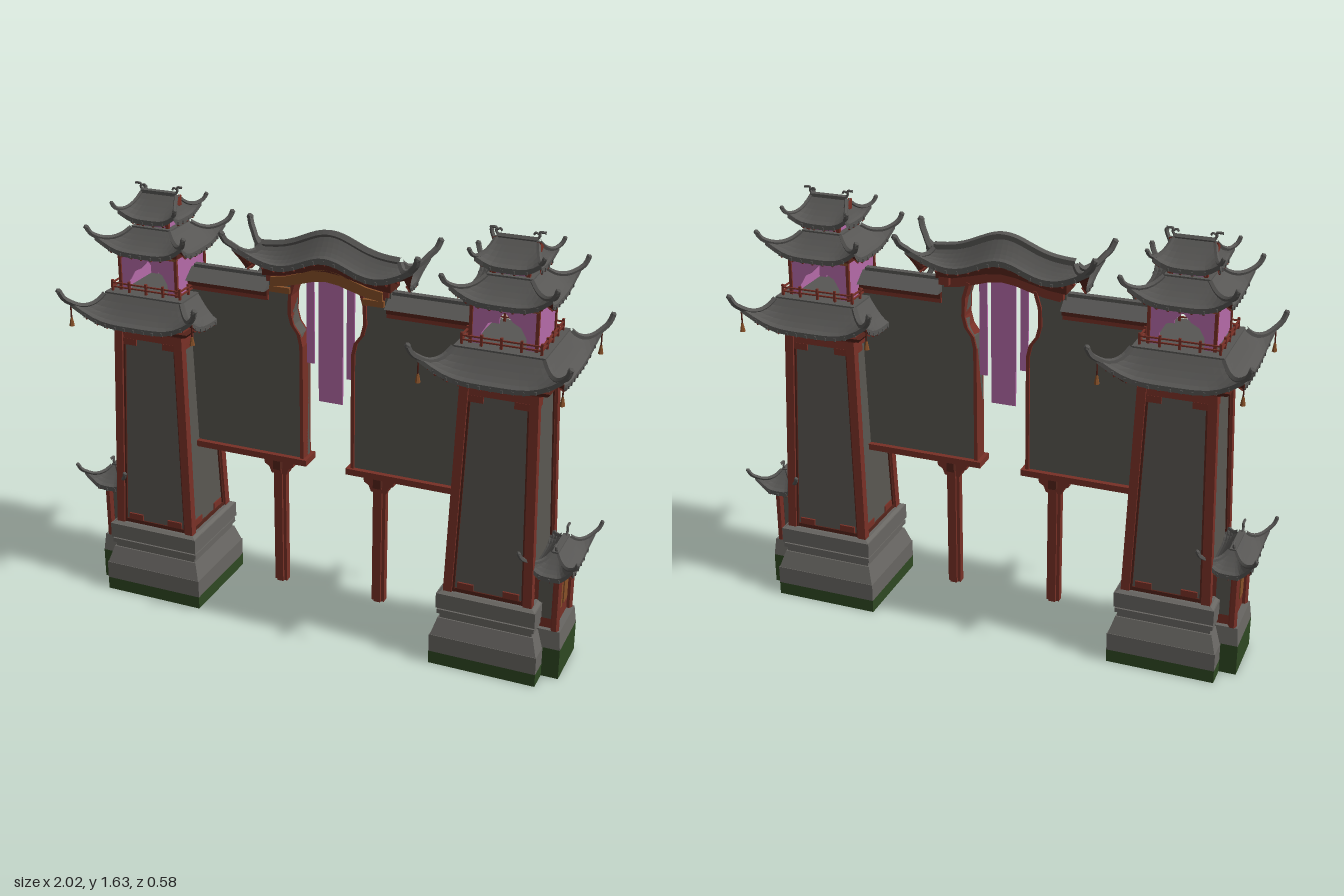
import * as THREE from 'three';
import { mergeGeometries } from 'three/addons/utils/BufferGeometryUtils.js';

const material = (name, color, side = THREE.FrontSide) => {
  const m = new THREE.MeshStandardMaterial({ color, flatShading: true, side });
  m.name = name;
  return m;
};
const V = (x, y, z) => new THREE.Vector3(x, y, z);

export function createModel() {
  const tile = material('roofTile', 0x575654);
  const plaster = material('plaster', 0x595650);
  const stone = material('stone', 0x686662);
  const red = material('redTimber', 0x783026);
  const darkRed = material('darkTimber', 0x54231a);
  const green = material('moss', 0x2e4822);
  const purple = material('purpleCloth', 0xb56aa8, THREE.DoubleSide);
  const orange = material('ochre', 0x875028);

  const add = (parent, name, geo, mat) => {
    const m = new THREE.Mesh(geo, mat);
    m.name = name;
    parent.add(m);
    return m;
  };
  const group = (parent, name, x = 0) => {
    const g = new THREE.Group();
    g.name = name;
    g.position.x = x;
    parent.add(g);
    return g;
  };
  const box = (x0, x1, y0, y1, z0, z1) =>
    new THREE.BoxGeometry(x1 - x0, y1 - y0, z1 - z0).translate((x0 + x1) / 2, (y0 + y1) / 2, (z0 + z1) / 2);
  // Box given by half sizes at its bottom and its top
  const frustum = (y0, y1, x0, z0, x1 = x0, z1 = z0) => {
    const g = new THREE.BoxGeometry(2, 1, 2), p = g.attributes.position;
    for (let i = 0; i < p.count; i++) {
      const up = p.getY(i) > 0;
      p.setXYZ(i, p.getX(i) * (up ? x1 : x0), up ? y1 : y0, p.getZ(i) * (up ? z1 : z0));
    }
    g.computeVertexNormals();
    return g;
  };
  // Straight bar between two points
  const bar = (a, b, r, sides = 4) => {
    const d = b.clone().sub(a);
    const g = new THREE.CylinderGeometry(r, r, d.length(), sides).rotateY(Math.PI / sides);
    g.applyQuaternion(new THREE.Quaternion().setFromUnitVectors(V(0, 1, 0), d.normalize()));
    return g.translate((a.x + b.x) / 2, (a.y + b.y) / 2, (a.z + b.z) / 2);
  };
  const tube = (pts, r, n = 12) => new THREE.TubeGeometry(new THREE.CatmullRomCurve3(pts), n, r, 5);
  const outline = (pts) => new THREE.Shape(pts.map(([x, y]) => new THREE.Vector2(x, y)));
  const slab = (shape, depth, z = -depth / 2) =>
    new THREE.ExtrudeGeometry(shape, { depth, bevelEnabled: false }).translate(0, 0, z);
  const ring = (x, z, ix, iz, y0, y1) => {
    const rect = (a, b) => [[-a, -b], [a, -b], [a, b], [-a, b]];
    const s = outline(rect(x, z));
    s.holes.push(outline(rect(ix, iz)));
    return slab(s, y1 - y0, 0).rotateX(-Math.PI / 2).translate(0, y0, 0);
  };
  const patch = (nu, nv, f) => {
    const g = new THREE.PlaneGeometry(2, 1, nu, nv), p = g.attributes.position;
    for (let i = 0; i < p.count; i++) p.setXYZ(i, ...f(p.getX(i), p.getY(i) + 0.5).toArray());
    g.computeVertexNormals();
    return g;
  };

  // Swept roof: eave half sizes hx/hz, top half sizes tx/tz, lifted corners with curled tips
  const roof = (parent, name, o) => {
    const { hx, hz, tx, tz, y0, y1, lift, flare, tip, th = 0.018, r = 0.01, nu = 14, warp = () => 0 } = o;
    const g = group(parent, name, o.x);
    const surf = (k, u, v, drop = 0) => {
      const odd = k % 2, e = (1 - v) ** 2, f = flare * Math.abs(u) ** 6 * e;
      const along = THREE.MathUtils.lerp(odd ? hz : hx, odd ? tz : tx, v) + f;
      const out = THREE.MathUtils.lerp(odd ? hx : hz, odd ? tx : tz, v) + f;
      const p = V(u * along, y0 + (y1 - y0) * v ** 1.4 + lift * Math.abs(u) ** 4 * e - drop, out);
      p.applyAxisAngle(V(0, 1, 0), k * Math.PI / 2);
      p.y += warp(p.x);
      return p;
    };
    const tops = [], unders = [], ends = [], rafters = [], hips = [];
    for (let k = 0; k < 4; k++) {
      tops.push(patch(nu, 5, (u, v) => surf(k, u, v)));
      tops.push(patch(nu, 1, (u, v) => surf(k, u, 0, th * (1 - v))));
      unders.push(patch(nu, 5, (u, v) => surf(k, -u, v, th)));
      const n = Math.max(4, Math.round((k % 2 ? hz : hx) / 0.02));
      for (let i = 1; i < n; i++) {
        const u = (2 * i) / n - 1, p = surf(k, u, 0, th * 0.7);
        ends.push(new THREE.BoxGeometry(0.007, 0.012, 0.007).translate(p.x, p.y, p.z));
        rafters.push(bar(surf(k, u, 0.04, th + 0.004), surf(k, u, 0.4, th + 0.004), 0.005));
      }
      const pts = [1, 0.75, 0.5, 0.25, 0].map((v) => surf(k, 1, v));
      const c = pts[4], sx = Math.sign(c.x) * tip, sz = Math.sign(c.z) * tip;
      const end = V(c.x + sx * 0.75, c.y + tip * 1.3, c.z + sz * 0.75);
      pts.push(V(c.x + sx * 0.45, c.y + tip * 0.5, c.z + sz * 0.45), end);
      hips.push(tube(pts, r, 14), new THREE.IcosahedronGeometry(r * 1.1, 0).translate(end.x, end.y, end.z));
    }
    add(g, 'tiledSlopes', mergeGeometries(tops), tile);
    add(g, 'soffit', mergeGeometries(unders), darkRed);
    add(g, 'tileEnds', mergeGeometries(ends), tile);
    add(g, 'rafters', mergeGeometries(rafters), red);
    hips.forEach((h) => add(g, 'hipRidge', h, tile));
    const ridge = [];
    for (let i = 0; i <= 12; i++) ridge.push(V(tx * (i / 6 - 1), y1 + warp(tx * (i / 6 - 1)) + r * 0.5, 0));
    if (tz < 0.02) add(g, 'mainRidge', tube(ridge, r * 1.3, 24), tile);
    else add(g, 'roofCap', frustum(y1 - 0.012, y1 + 0.006, tx, tz), tile);
    return g;
  };

  const model = new THREE.Group();
  model.name = 'gateway';

  const buildHalf = () => {
    const half = group(model, 'gateHalf');
    const t = group(half, 'tower', 0.678);

    // Stone plinth, hollow underneath
    add(t, 'mossyFoot', ring(0.203, 0.192, 0.15, 0.14, 0, 0.05), green);
    add(t, 'plinth', ring(0.203, 0.192, 0.14, 0.13, 0.05, 0.12), stone);
    add(t, 'plinthSlope', frustum(0.12, 0.185, 0.2, 0.19, 0.18, 0.168), stone);
    add(t, 'plinthNeck', frustum(0.185, 0.225, 0.174, 0.163), stone);
    add(t, 'plinthBandLower', frustum(0.205, 0.222, 0.183, 0.172), stone);
    add(t, 'plinthBand', frustum(0.23, 0.29, 0.186, 0.177), stone);
    add(t, 'plinthBandTop', frustum(0.29, 0.297, 0.182, 0.173, 0.17, 0.162), stone);

    // Tapered shaft with corner posts
    add(t, 'shaftWall', frustum(0.29, 1.12, 0.152, 0.145, 0.125, 0.12), plaster);
    add(t, 'shaftSill', frustum(0.295, 0.312, 0.157, 0.15), darkRed);
    add(t, 'shaftFrieze', frustum(1.065, 1.12, 0.133, 0.128, 0.131, 0.126), red);
    for (const sx of [-1, 1]) for (const sz of [-1, 1]) {
      add(t, 'cornerPost', bar(V(sx * 0.15, 0.29, sz * 0.143), V(sx * 0.124, 1.12, sz * 0.119), 0.023), red);
      add(t, 'postLining', bar(V(sx * 0.134, 0.29, sz * 0.144), V(sx * 0.107, 1.12, sz * 0.118), 0.011), darkRed);
      add(t, 'postLining', bar(V(sx * 0.151, 0.29, sz * 0.127), V(sx * 0.123, 1.12, sz * 0.102), 0.011), darkRed);
      for (const [y, w] of [[0.322, 0.149], [1.05, 0.127]]) {
        add(t, 'cornerBracket', box(sx * 0.085 - 0.03, sx * 0.085 + 0.03, y - 0.01, y + 0.015, sz * (w - 0.004) - 0.006, sz * (w - 0.004) + 0.006), red);
        add(t, 'cornerBracket', box(sx * w - 0.006, sx * w + 0.006, y - 0.01, y + 0.015, sz * 0.08 - 0.03, sz * 0.08 + 0.03), red);
      }
    }

    // Lower roof on stepped eave beams
    add(t, 'eaveBeam', frustum(1.105, 1.122, 0.15, 0.145, 0.165, 0.16), red);
    add(t, 'eaveBeam', frustum(1.122, 1.14, 0.18, 0.175, 0.195, 0.19), darkRed);
    add(t, 'eaveBeam', frustum(1.14, 1.158, 0.17, 0.17), red);
    roof(t, 'lowerRoof', { hx: 0.233, hz: 0.235, tx: 0.16, tz: 0.155, y0: 1.155, y1: 1.243, lift: 0.072, flare: 0.018, tip: 0.036, r: 0.011 });
    for (const sx of [-1, 1]) for (const sz of [-1, 1]) {
      const c = V(sx * 0.25, 1.21, sz * 0.25);
      add(t, 'bellCord', bar(c, V(c.x, 1.165, c.z), 0.003), darkRed);
      add(t, 'bell', new THREE.CylinderGeometry(0.004, 0.01, 0.032, 6).translate(c.x, 1.15, c.z), orange);
    }

    // Balcony railing
    const rx = 0.14, rz = 0.13;
    for (const s of [-1, 1]) {
      for (const y of [1.262, 1.277]) {
        add(t, 'rail', box(-rx, rx, y, y + 0.005, s * rz - 0.003, s * rz + 0.003), red);
        add(t, 'rail', box(s * rx - 0.003, s * rx + 0.003, y, y + 0.005, -rz, rz), red);
      }
      for (let i = -2; i <= 2; i++) {
        add(t, 'railPost', bar(V(i * rx / 2, 1.24, s * rz), V(i * rx / 2, 1.29, s * rz), 0.006), red);
        add(t, 'railPost', bar(V(s * rx, 1.24, i * rz / 2), V(s * rx, 1.29, i * rz / 2), 0.006), red);
      }
    }

    // Belvedere with arched openings front and back
    const arch = outline([[-0.112, 1.24], [-0.08, 1.24], [-0.078, 1.29], [-0.058, 1.325], [-0.03, 1.34], [0, 1.372],
      [0.03, 1.34], [0.058, 1.325], [0.078, 1.29], [0.08, 1.24], [0.112, 1.24], [0.112, 1.4], [-0.112, 1.4]]);
    for (const s of [-1, 1]) {
      add(t, 'archedScreen', slab(arch, 0.008, s * 0.103 - 0.004), purple);
      add(t, 'sideScreen', box(s * 0.112 - 0.004, s * 0.112 + 0.004, 1.24, 1.4, -0.103, 0.103), purple);
      add(t, 'lintel', box(-0.12, 0.12, 1.386, 1.405, s * 0.106 - 0.008, s * 0.106 + 0.008), orange);
      add(t, 'sideLintel', box(s * 0.114 - 0.008, s * 0.114 + 0.008, 1.392, 1.41, -0.11, 0.11), red);
      for (const z of [-1, 1])
        add(t, 'belvederePost', bar(V(s * 0.116, 1.24, z * 0.108), V(s * 0.116, 1.41, z * 0.108), 0.008), red);
    }
    add(t, 'middleEave', frustum(1.4, 1.415, 0.13, 0.125), darkRed);
    roof(t, 'middleRoof', { hx: 0.165, hz: 0.16, tx: 0.08, tz: 0.075, y0: 1.412, y1: 1.482, lift: 0.055, flare: 0.013, tip: 0.026 });
    add(t, 'lanternNeck', frustum(1.48, 1.535, 0.06, 0.055), purple);
    for (const s of [-1, 1]) for (const z of [-1, 1])
      add(t, 'lanternPost', bar(V(s * 0.06, 1.48, z * 0.055), V(s * 0.06, 1.535, z * 0.055), 0.009), red);
    roof(t, 'topRoof', { hx: 0.105, hz: 0.098, tx: 0.072, tz: 0.004, y0: 1.522, y1: 1.597, lift: 0.034, flare: 0.01, tip: 0.018, r: 0.008, nu: 10 });
    for (const s of [-1, 1]) {
      add(t, 'gable', bar(V(s * 0.07, 1.575, 0), V(s * 0.084, 1.575, 0), 0.027, 3), red);
      add(t, 'ridgeFinial', tube([V(s * 0.065, 1.6, 0), V(s * 0.075, 1.615, 0), V(s * 0.075, 1.627, 0), V(s * 0.098, 1.628, 0)], 0.005), tile);
      add(t, 'finialCurl', tube([V(s * 0.074, 1.62, 0), V(s * 0.06, 1.625, 0), V(s * 0.055, 1.617, 0)], 0.004), tile);
    }

    // Small shrine on the outer side
    const s = group(t, 'shrine');
    add(s, 'shrineFoot', box(0.14, 0.267, 0, 0.12, -0.11, 0.11), green);
    add(s, 'shrinePlinth', frustum(0.12, 0.19, 0.0635, 0.11, 0.056, 0.102).translate(0.2035, 0, 0), stone);
    add(s, 'shrineBody', box(0.14, 0.235, 0.19, 0.42, -0.085, 0.085), red);
    for (const z of [-1, 1]) {
      add(s, 'shrinePost', bar(V(0.238, 0.19, z * 0.09), V(0.238, 0.42, z * 0.09), 0.016, 6), red);
      add(s, 'shrineSidePanel', box(0.17, 0.222, 0.23, 0.39, z * 0.0865 - 0.002, z * 0.0865 + 0.002), plaster);
      add(s, 'shrineDoor', box(0.234, 0.239, 0.245, 0.37, z * 0.036 - 0.025, z * 0.036 + 0.025), orange);
      add(s, 'shrineFinial', tube([V(0.22, 0.49, z * 0.06), V(0.22, 0.51, z * 0.075), V(0.22, 0.525, z * 0.07), V(0.22, 0.527, z * 0.1)], 0.005), tile);
    }
    add(s, 'shrineLintel', box(0.15, 0.25, 0.395, 0.412, -0.105, 0.105), orange);
    add(s, 'shrineEave', box(0.15, 0.265, 0.412, 0.425, -0.125, 0.125), darkRed);
    roof(s, 'shrineRoof', { x: 0.217, hx: 0.073, hz: 0.14, tx: 0.012, tz: 0.075, y0: 0.427, y1: 0.49, lift: 0.058, flare: 0.014, tip: 0.024, r: 0.008, nu: 10 });

    // Hanging wall with a keyhole edge
    const w = group(half, 'curtainWall');
    const edge = [[0.095, 0.64], [0.095, 1.1], [0.105, 1.145], [0.13, 1.18], [0.14, 1.22], [0.138, 1.29], [0.12, 1.35]];
    add(w, 'wallPanel', slab(outline([...edge, [0.24, 1.35], [0.24, 1.3], [0.56, 1.3], [0.56, 0.64]]), 0.05), plaster);
    add(w, 'edgeTrim', slab(outline([...edge, ...edge.map(([x, y]) => [x + 0.013, y]).reverse()]), 0.068), red);
    add(w, 'bottomBeam', box(0.08, 0.55, 0.628, 0.652, -0.045, 0.045), red);
    add(w, 'cornice', box(0.23, 0.55, 1.262, 1.28, -0.036, 0.036), red);
    add(w, 'cornice', box(0.23, 0.55, 1.28, 1.302, -0.045, 0.045), darkRed);
    add(w, 'wallCap', frustum(1.302, 1.34, 0.16, 0.065, 0.16, 0.012).translate(0.39, 0, 0), tile);
    add(w, 'wallCapRidge', box(0.23, 0.54, 1.333, 1.352, -0.012, 0.012), tile);

    // Slim post with a bracket under the wall
    add(w, 'hangingPost', box(0.178, 0.228, 0.1, 0.6, -0.014, 0.014), red);
    add(w, 'postCore', box(0.19, 0.216, 0.1, 0.6, -0.024, 0.024), red);
    add(w, 'postBracket', slab(outline([[0.173, 0.565], [0.233, 0.565], [0.243, 0.59], [0.261, 0.6], [0.265, 0.63],
      [0.141, 0.63], [0.145, 0.6], [0.163, 0.59]]), 0.044), red);
    add(w, 'postBracketCross', box(0.188, 0.218, 0.59, 0.63, -0.042, 0.042), darkRed);
    return half;
  };
  buildHalf();
  buildHalf().rotation.y = Math.PI;

  // Humped roof over the passage
  const c = group(model, 'centrePiece');
  const hump = (x) => 0.068 * Math.exp(-((x / 0.13) ** 2));
  roof(c, 'gateRoof', { hx: 0.315, hz: 0.062, tx: 0.265, tz: 0.006, y0: 1.388, y1: 1.456, lift: 0.085, flare: 0.028, tip: 0.034, r: 0.012, nu: 28, th: 0.022, warp: hump });
  const xs = [-0.22, -0.16, -0.1, -0.05, 0, 0.05, 0.1, 0.16, 0.22];
  const band = (lo, hi, k) => outline([...xs.map((x) => [x * k, lo + hump(x) * 0.7]), ...xs.map((x) => [x * k, hi + hump(x) * 0.85]).reverse()]);
  add(c, 'archBeam', slab(band(1.32, 1.365, 1), 0.06), red);
  add(c, 'upperBeam', slab(band(1.355, 1.4, 1.12), 0.09), darkRed);
  // Carved facing on the front only
  add(c, 'carvedFacing', slab(band(1.318, 1.352, 0.98), 0.009, 0.036), orange);
  for (const s of [-1, 1]) {
    add(c, 'carvedBracket', box(s * 0.18 - 0.04, s * 0.18 + 0.04, 1.3, 1.322, 0.03, 0.045), orange);
    add(c, 'beamEnd', box(s * 0.215 - 0.02, s * 0.215 + 0.02, 1.335, 1.365, -0.045, 0.035), red);
  }

  // Cloth banners
  for (const [x0, x1, y] of [[-0.045, 0.05, 0.885], [-0.092, -0.062, 1.03], [0.065, 0.095, 0.99]])
    add(c, 'banner', box(x0, x1, y, 1.36, -0.003, 0.003), purple);
  return model;
}
